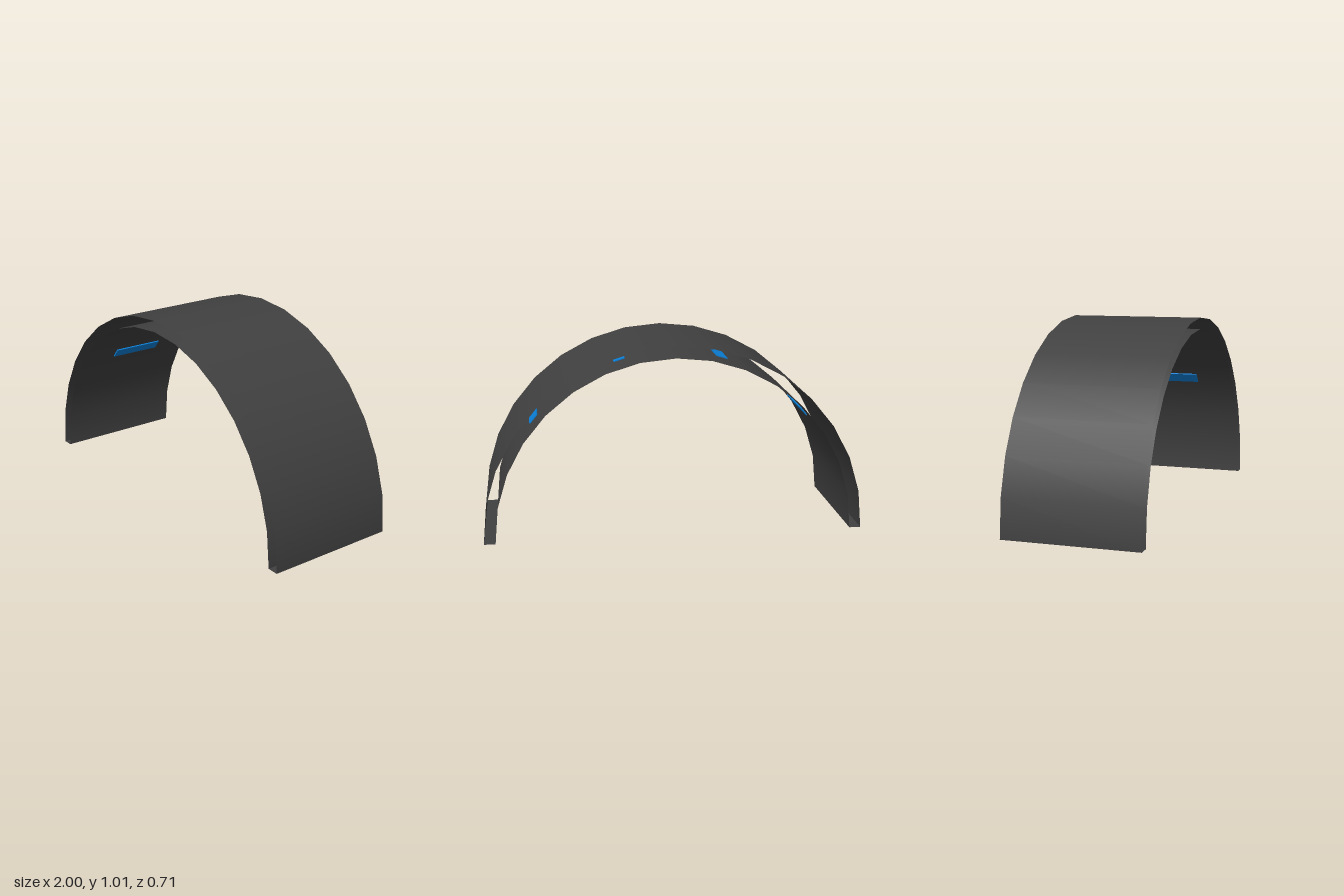
import * as THREE from 'three';

const DEPTH = 0.71, BASE = 0.01, SEGMENTS = 16;
const OUTER = 1, INNER = 0.94;

// Open half-cylinder along z whose ends run down to the ground
function halfShell(radius) {
  const g = new THREE.CylinderGeometry(radius, radius, DEPTH, SEGMENTS, 1, true, Math.PI / 2, Math.PI);
  g.rotateX(Math.PI / 2).translate(0, BASE, 0);
  const p = g.attributes.position;
  for (let i = 0; i < p.count; i++) if (p.getY(i) < BASE + 0.001) p.setY(i, 0);
  return g;
}

export function createModel() {
  const group = new THREE.Group();
  const shellMat = new THREE.MeshStandardMaterial({ color: 0x404040, side: THREE.DoubleSide });
  const lightMat = new THREE.MeshStandardMaterial({ color: 0x0a7fd6 });

  const add = (name, geometry, material) => {
    const mesh = new THREE.Mesh(geometry, material);
    mesh.name = name;
    group.add(mesh);
    return mesh;
  };

  // Two concentric shells, open at the front and back
  add('outerShell', halfShell(OUTER), shellMat);
  add('innerShell', halfShell(INNER), shellMat);

  for (const side of [-1, 1]) {
    // Flat strip closing the foot between the shells
    const foot = new THREE.PlaneGeometry(OUTER - INNER, DEPTH).rotateX(Math.PI / 2);
    add('foot', foot, shellMat).position.x = side * (OUTER + INNER) / 2;

    // Light panels centred on facets of the inner shell
    for (const facet of [3.5, 6.5]) {
      const a = facet * Math.PI / SEGMENTS, r = 0.9345;
      const panel = add('lightPanel', new THREE.BoxGeometry(0.062, 0.012, 0.29), lightMat);
      panel.position.set(side * r * Math.cos(a), BASE + r * Math.sin(a), 0);
      panel.rotation.z = side * (a - Math.PI / 2);
    }
  }
  return group;
}
